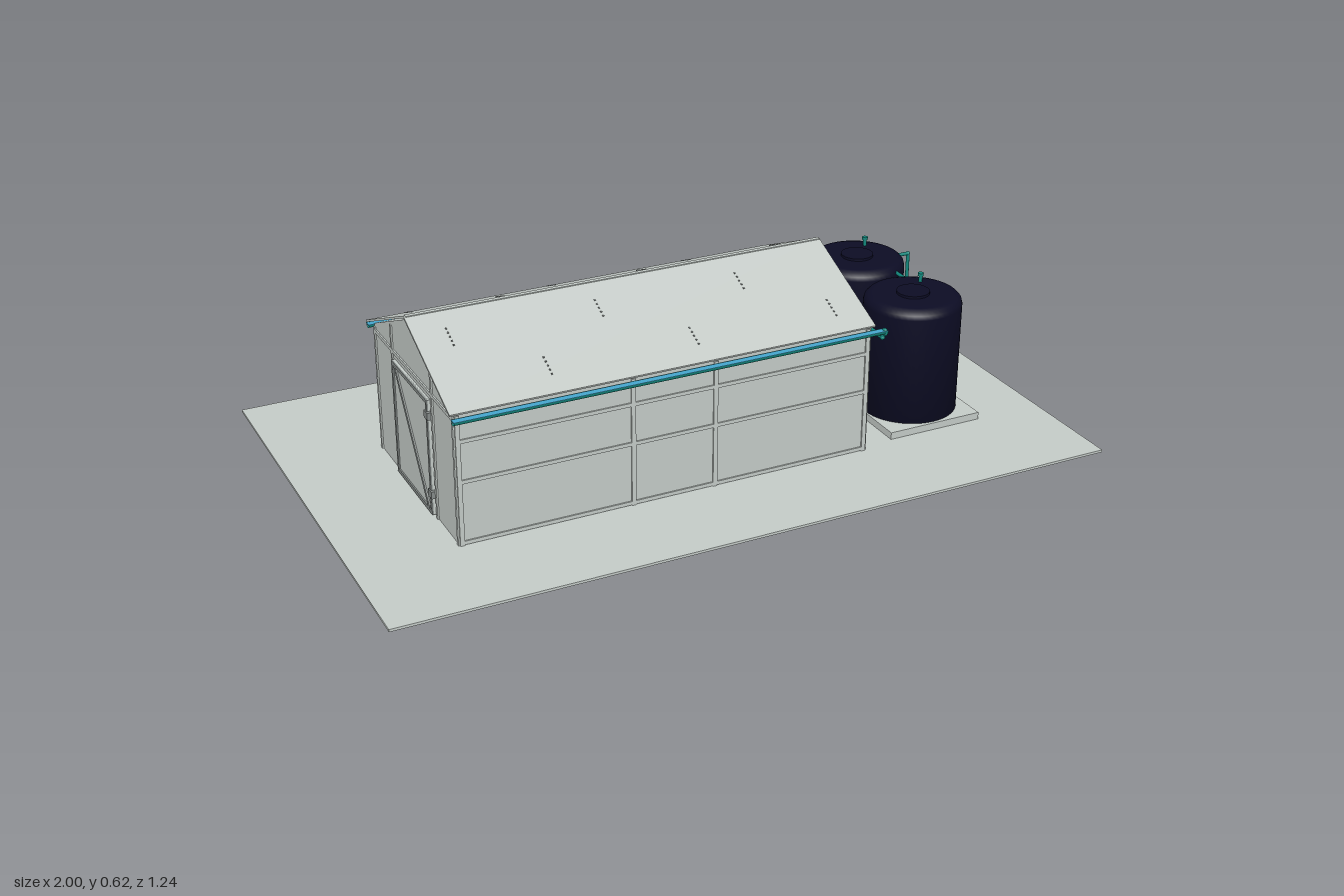
import * as THREE from 'three';

export function createModel() {
  const mat = (name, color, side = THREE.FrontSide) => {
    const m = new THREE.MeshStandardMaterial({ color, side });
    m.name = name;
    return m;
  };
  const grey = mat('concrete grey', 0xc3cac6, THREE.DoubleSide);
  const steel = mat('steel grey', 0x858b89);
  const navy = mat('tank navy', 0x0c0c24);
  const teal = mat('pipe teal', 0x12877c, THREE.DoubleSide);
  const blue = mat('gutter blue', 0x45a5cc, THREE.DoubleSide);
  const gold = mat('brass gold', 0xd6a82e);

  const model = new THREE.Group();
  const add = (name, geo, m, x = 0, y = 0, z = 0, parent = model) => {
    const mesh = new THREE.Mesh(geo, m);
    mesh.name = name;
    mesh.position.set(x, y, z);
    parent.add(mesh);
    return mesh;
  };
  // Box given by its lower and upper corners
  const box = (name, m, x0, x1, y0, y1, z0, z1) =>
    add(name, new THREE.BoxGeometry(x1 - x0, y1 - y0, z1 - z0), m, (x0 + x1) / 2, (y0 + y1) / 2, (z0 + z1) / 2);
  const cyl = (name, m, r, y0, y1, x, z, n = 32) =>
    add(name, new THREE.CylinderGeometry(r, r, y1 - y0, n), m, x, (y0 + y1) / 2, z);
  // Straight pipe runs joined by ball elbows
  const pipe = (name, m, r, pts) => {
    const g = new THREE.Group();
    g.name = name;
    model.add(g);
    const v = pts.map((p) => new THREE.Vector3(...p));
    for (let i = 1; i < v.length; i++) {
      const d = v[i].clone().sub(v[i - 1]);
      const run = add(name + 'Run', new THREE.CylinderGeometry(r, r, d.length(), 12), m, 0, 0, 0, g);
      run.position.copy(v[i]).add(v[i - 1]).multiplyScalar(0.5);
      run.quaternion.setFromUnitVectors(new THREE.Vector3(0, 1, 0), d.normalize());
      if (i < v.length - 1) add(name + 'Elbow', new THREE.SphereGeometry(r * 1.15, 12, 8), m, ...pts[i], g);
    }
  };

  // Ground slab and the sump below it
  const G = 0.115;
  box('groundSlab', grey, -1, 1, 0.108, G, -0.62, 0.62);
  cyl('sump', grey, 0.075, 0, 0.109, 0.33, 0);

  // Barn body with gabled ends
  const X0 = -0.72, X1 = 0.43, Z0 = -0.24, Z1 = 0.34, ZR = 0.047;
  const gable = new THREE.Shape([[-Z1, G], [-Z0, G], [-Z0, 0.478], [-ZR, 0.605], [-Z1, 0.478]].map((p) => new THREE.Vector2(...p)));
  const body = add('barnWalls', new THREE.ExtrudeGeometry(gable, { depth: X1 - X0, bevelEnabled: false }), grey, X0);
  body.rotation.y = Math.PI / 2;

  // Wall framing
  const F = 0.004;
  for (const z of [Z0, Z1]) {
    for (const x of [X0 + 0.006, -0.25, -0.02, X1 - 0.006]) box('wallPost', grey, x - 0.006, x + 0.006, G, 0.47, z - F, z + F);
    for (const y of [0.122, 0.29, 0.4]) box('wallRail', grey, X0, X1, y - 0.005, y + 0.005, z - F, z + F);
  }
  for (const x of [X0, X1]) {
    for (const z of [Z0 + 0.005, -0.1, 0.19, Z1 - 0.005]) box('gablePost', grey, x - F, x + F, G, z < -0.2 || z > 0.3 ? 0.47 : 0.53, z - 0.005, z + 0.005);
    box('gableTie', grey, x - F, x + F, 0.455, 0.465, Z0, Z1);
  }

  // Braced door on the left-hand gable, with hinges
  box('door', grey, X0 - 0.007, X0, G + 0.005, 0.44, -0.085, 0.175);
  for (const z of [-0.08, 0.17]) box('doorStile', steel, X0 - 0.011, X0, G + 0.005, 0.44, z - 0.005, z + 0.005);
  for (const y of [0.125, 0.435]) box('doorRail', steel, X0 - 0.011, X0, y - 0.005, y + 0.005, -0.08, 0.17);
  const brace = add('doorBrace', new THREE.BoxGeometry(0.008, 0.37, 0.012), steel, X0 - 0.007, 0.28, 0.045);
  brace.rotation.x = -0.62;
  for (const y of [0.18, 0.4]) box('doorHinge', steel, X0 - 0.014, X0, y - 0.01, y + 0.01, 0.16, 0.185);

  // Roof sheets, with screw rows, ridge cap and gutters
  for (const s of [-1, 1]) {
    const edge = s < 0 ? -0.262 : 0.35;
    const run = Math.abs(edge - ZR), rise = 0.135;
    const slope = new THREE.Group();
    slope.name = 'roofSlope';
    slope.position.set(-0.147, 0.478 + rise / 2, (edge + ZR) / 2);
    slope.rotation.x = s * Math.atan2(rise, run);
    model.add(slope);
    const len = Math.hypot(run, rise);
    add('roofSheet', new THREE.BoxGeometry(1.175, 0.006, len), grey, 0, 0, 0, slope);
    for (let k = 0; k < 6; k++)
      for (let j = 0; j < 5; j++)
        add('roofScrew', new THREE.BoxGeometry(0.004, 0.003, 0.004), steel,
          -0.5 + k * 0.2, 0.004, (k % 2 ? 0.05 : -0.1) + j * 0.014, slope);

    // Half-round gutter: teal outside, blue trough
    const zg = edge + s * 0.007;
    const outer = add('gutter', new THREE.CylinderGeometry(0.011, 0.011, 1.2, 16, 1, true, 0, Math.PI), teal, -0.13, 0.466, zg);
    outer.rotation.z = -Math.PI / 2;
    box('gutterTrough', blue, -0.73, 0.47, 0.463, 0.466, zg - 0.0095, zg + 0.0095);
    const cap = add('gutterEnd', new THREE.SphereGeometry(0.011, 16, 10), teal, 0.465, 0.46, zg);
    cap.scale.x = 0.7;
  }
  box('ridgeCap', grey, -0.73, 0.44, 0.61, 0.616, ZR - 0.006, ZR + 0.006);

  // Collector pipe across the gable, feed to the tank, first-flush diverter
  const P = 0.006;
  pipe('collectorPipe', teal, P, [[0.46, 0.462, 0.355], [0.46, 0.445, 0.355], [0.46, 0.445, -0.267], [0.46, 0.462, -0.267]]);
  pipe('tankFeed', teal, P, [[0.46, 0.445, -0.118], [0.54, 0.445, -0.118]]);
  pipe('downPipe', teal, 0.007, [[0.505, 0.445, -0.118], [0.505, 0.2, -0.118], [0.505, 0.195, -0.065], [0.475, 0.195, -0.065]]);
  pipe('filterOutlet', teal, 0.004, [[0.475, 0.195, -0.065], [0.54, 0.195, -0.065]]);
  pipe('drainPipe', steel, 0.004, [[0.475, 0.19, -0.065], [0.435, 0.19, -0.065], [0.435, G, -0.065]]);
  pipe('branchPipe', teal, 0.005, [[0.46, 0.445, -0.16], [0.48, 0.445, -0.16], [0.48, 0.445, -0.08]]);
  cyl('filterHousing', blue, 0.013, 0.135, 0.2, 0.475, -0.065, 20);

  // Water tanks on their plinths
  const profile = [[0, 0.135], [0.134, 0.135], [0.134, 0.44], [0.131, 0.452], [0.122, 0.461], [0.108, 0.465], [0, 0.465]]
    .map((p) => new THREE.Vector2(...p));
  for (const z of [-0.114, 0.18]) {
    box('plinth', grey, 0.525, 0.805, G, 0.135, z - 0.142, z + 0.142);
    add('tankBody', new THREE.LatheGeometry(profile, 48), navy, 0.663, 0, z);
    cyl('tankLid', navy, 0.045, 0.464, 0.472, 0.663, z);
    cyl('tankVent', teal, 0.005, 0.46, 0.485, 0.722, z - 0.056, 12);
    cyl('ventCap', teal, 0.008, 0.483, 0.491, 0.722, z - 0.056, 12);
  }
  pipe('overflowPipe', teal, 0.005, [[0.785, 0.44, -0.116], [0.835, 0.44, -0.116], [0.835, 0.14, -0.116], [0.86, 0.14, -0.116]]);
  pipe('tankLink', teal, 0.005, [[0.722, 0.167, 0.08], [0.722, 0.167, -0.015]]);
  pipe('tankTopLink', teal, 0.005, [[0.722, 0.445, 0.08], [0.722, 0.445, -0.015]]);
  pipe('linkValve', teal, 0.008, [[0.722, 0.167, 0.05], [0.722, 0.167, 0.015]]);
  box('valveHandle', teal, 0.717, 0.727, 0.172, 0.179, 0.026, 0.04);

  // Open well ring and the pipe leading to it
  const ring = [[0.061, G], [0.075, G], [0.075, 0.248], [0.061, 0.248], [0.061, G]];
  const ringGeo = new THREE.LatheGeometry(ring.map((p) => new THREE.Vector2(...p)), 40).toNonIndexed();
  ringGeo.computeVertexNormals();
  add('wellRing', ringGeo, grey, 0.683, 0, -0.382);
  pipe('wellPipe', steel, 0.004, [[0.37, 0.405, -0.24], [0.37, 0.405, -0.296], [0.37, 0.285, -0.296],
    [0.683, 0.285, -0.296], [0.683, 0.285, -0.382], [0.683, 0.235, -0.382]]);

  // Work table with brass pump parts
  box('tableTop', grey, 0.452, 0.567, 0.246, 0.254, -0.43, -0.35);
  for (const x of [0.46, 0.559])
    for (const z of [-0.422, -0.358]) box('tableLeg', steel, x - 0.004, x + 0.004, G, 0.246, z - 0.004, z + 0.004);
  for (const z of [-0.422, -0.358]) box('tableStretcher', steel, 0.46, 0.559, 0.165, 0.172, z - 0.003, z + 0.003);
  box('pumpBox', gold, 0.49, 0.54, 0.254, 0.283, -0.418, -0.394);
  for (const [x, z] of [[0.48, -0.37], [0.532, -0.376]]) {
    cyl('brassFitting', gold, 0.007, 0.254, 0.28, x, z, 16);
    cyl('fittingBase', grey, 0.011, 0.254, 0.26, x, z, 16);
  }
  pipe('brassHose', gold, 0.004, [[0.575, 0.119, -0.33], [0.455, 0.119, -0.28]]);
  return model;
}
